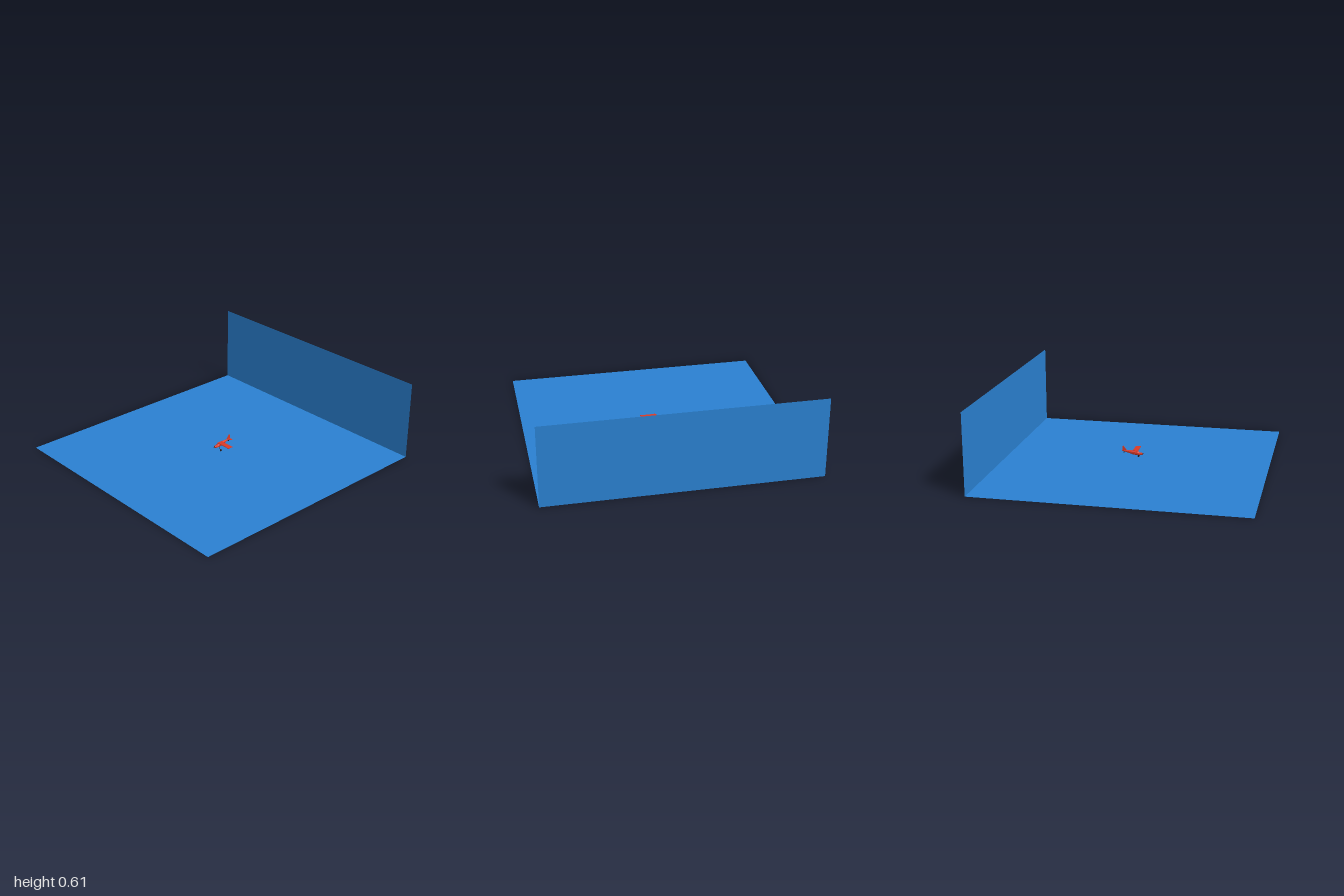
import * as THREE from 'three';

const mat = (color) => new THREE.MeshStandardMaterial({ color, flatShading: true, side: THREE.DoubleSide });
const blue = mat(0x2a80d0), red = mat(0xd83a28), dark = mat(0x2a1a1a);

function add(group, name, geometry, material, x = 0, y = 0, z = 0) {
  const mesh = new THREE.Mesh(geometry, material);
  mesh.name = name;
  mesh.position.set(x, y, z);
  group.add(mesh);
  return mesh;
}

// Skin a row of eight-sided rings, each given as [z, bottom, top, halfWidth]
function loft(rings, sides = 8) {
  const pos = [], index = [];
  for (const [z, bottom, top, w] of rings) {
    for (let i = 0; i < sides; i++) {
      const a = ((i + 0.5) / sides) * Math.PI * 2;
      const s = Math.sin(a);
      // narrower towards the top
      pos.push(Math.cos(a) * w * (s > 0.5 ? 0.6 : 1.05), (bottom + top) / 2 + s * (top - bottom) * 0.54, z);
    }
  }
  for (let r = 0; r < rings.length - 1; r++) {
    for (let i = 0; i < sides; i++) {
      const a = r * sides + i, b = r * sides + ((i + 1) % sides);
      index.push(a, b, a + sides, b, b + sides, a + sides);
    }
  }
  const last = (rings.length - 1) * sides;
  for (let i = 1; i < sides - 1; i++) index.push(0, i + 1, i, last, last + i, last + i + 1);
  const g = new THREE.BufferGeometry();
  g.setAttribute('position', new THREE.Float32BufferAttribute(pos, 3));
  g.setIndex(index);
  g.computeVertexNormals();
  return g;
}

// Thin plate extruded from an outline
function plate(points, depth) {
  const shape = new THREE.Shape(points.map(([x, y]) => new THREE.Vector2(x, y)));
  return new THREE.ExtrudeGeometry(shape, { depth, bevelEnabled: false }).translate(0, 0, -depth / 2);
}

// Round rod between two points
function rod(from, to, radius) {
  const a = new THREE.Vector3(...from), b = new THREE.Vector3(...to);
  const dir = b.clone().sub(a);
  const g = new THREE.CylinderGeometry(radius, radius, dir.length(), 6);
  g.applyQuaternion(new THREE.Quaternion().setFromUnitVectors(new THREE.Vector3(0, 1, 0), dir.normalize()));
  return g.translate((a.x + b.x) / 2, (a.y + b.y) / 2, (a.z + b.z) / 2);
}

export function createModel() {
  const model = new THREE.Group();

  // Backdrop: ground sheet and rear wall
  add(model, 'floor', new THREE.PlaneGeometry(2, 2).rotateX(-Math.PI / 2), blue);
  add(model, 'backWall', new THREE.PlaneGeometry(2, 0.605), blue, 0, 0.3025, -1);

  const plane = new THREE.Group();
  plane.name = 'aeroplane';
  model.add(plane);

  // Body, nose to tail
  add(plane, 'fuselage', loft([
    [-0.11, 0.078, 0.087, 0.003],
    [-0.07, 0.068, 0.085, 0.006],
    [-0.025, 0.055, 0.085, 0.012],
    [0.01, 0.051, 0.084, 0.014],
    [0.025, 0.051, 0.072, 0.013],
    [0.048, 0.056, 0.07, 0.008],
  ]), red);
  add(plane, 'spinner', new THREE.ConeGeometry(0.006, 0.012, 8).rotateX(Math.PI / 2), dark, 0, 0.063, 0.053);

  // Wing and tailplane reach out on the model's left only
  add(plane, 'wing', new THREE.BoxGeometry(0.124, 0.004, 0.04), red, 0.056, 0.083, -0.007);
  const tail = plate([[0, 0.083], [0.03, 0.093], [0.03, 0.107], [0, 0.11]], 0.003);
  add(plane, 'tailplane', tail.rotateX(-Math.PI / 2), red, 0, 0.084, 0);

  // Swept fin
  const fin = plate([[0.072, 0.083], [0.1, 0.117], [0.108, 0.113], [0.106, 0.083]], 0.004);
  add(plane, 'tailFin', fin.rotateY(Math.PI / 2), red);

  // Landing gear
  const wheel = (r) => new THREE.CylinderGeometry(r, r, 0.005, 10).rotateZ(Math.PI / 2);
  add(plane, 'gearLeg', rod([0.005, 0.058, 0.012], [0.029, 0.034, 0.012], 0.002), dark);
  add(plane, 'mainWheel', wheel(0.008), dark, 0.031, 0.034, 0.012);
  add(plane, 'tailLeg', rod([0, 0.08, -0.092], [0, 0.067, -0.095], 0.0015), dark);
  add(plane, 'tailWheel', wheel(0.004), dark, 0, 0.066, -0.095);

  return model;
}
